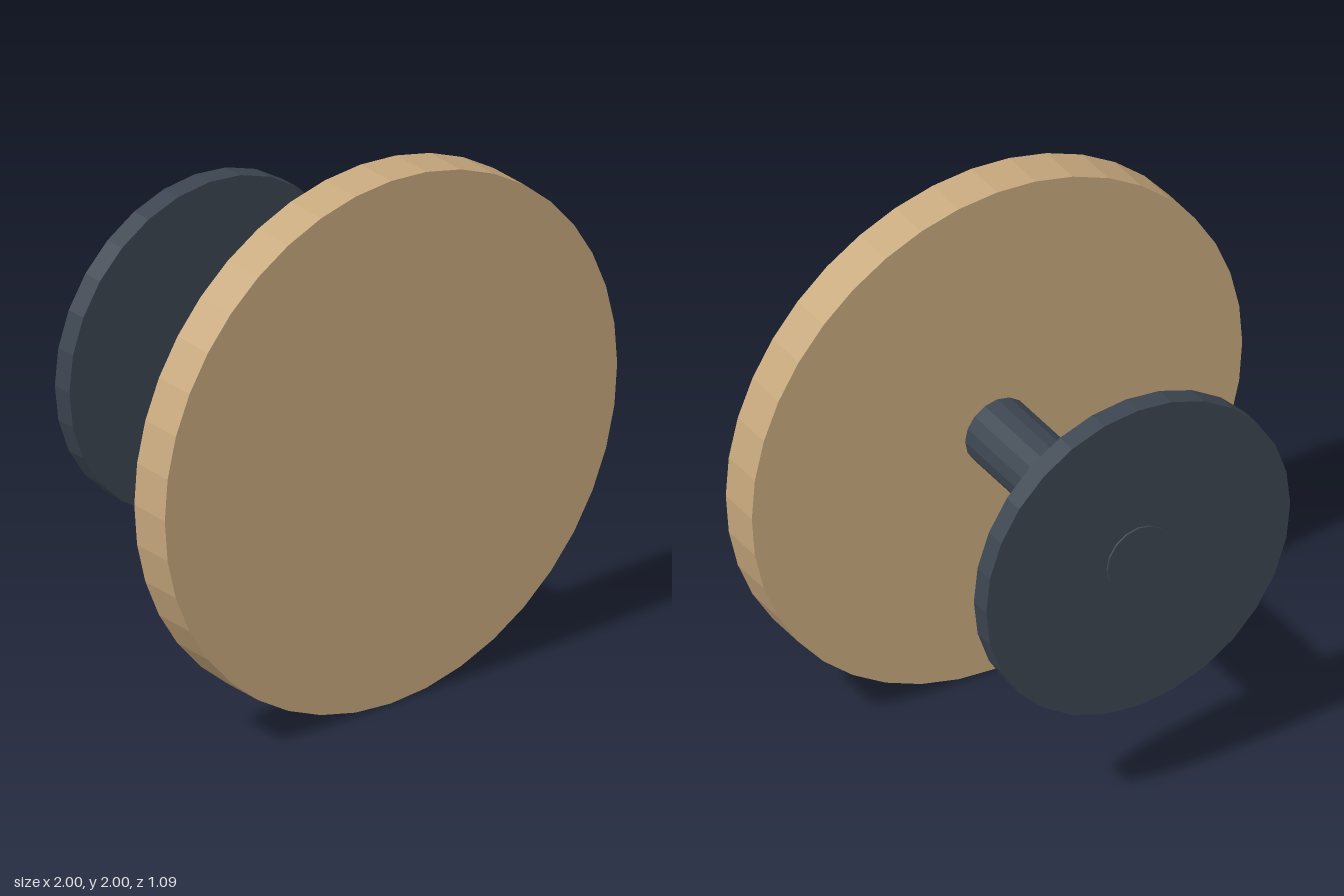
import * as THREE from 'three';

export function createModel() {
  const group = new THREE.Group();
  const wood = new THREE.MeshStandardMaterial({ color: 0xc8a97e, flatShading: true });
  const metal = new THREE.MeshStandardMaterial({ color: 0x3c4550, flatShading: true });

  // A disc or rod lying along z, between two depths
  function addRound(name, radius, zBack, zFront, sides, material) {
    const geometry = new THREE.CylinderGeometry(radius, radius, zFront - zBack, sides);
    geometry.rotateX(Math.PI / 2);
    const mesh = new THREE.Mesh(geometry, material);
    mesh.name = name;
    mesh.position.set(0, 1, (zBack + zFront) / 2);
    group.add(mesh);
  }

  addRound('top', 1, 0.375, 0.543, 40, wood);
  addRound('post', 0.13, -0.543, 0.375, 16, metal);
  addRound('base', 0.62, -0.535, -0.455, 28, metal);

  return group;
}
